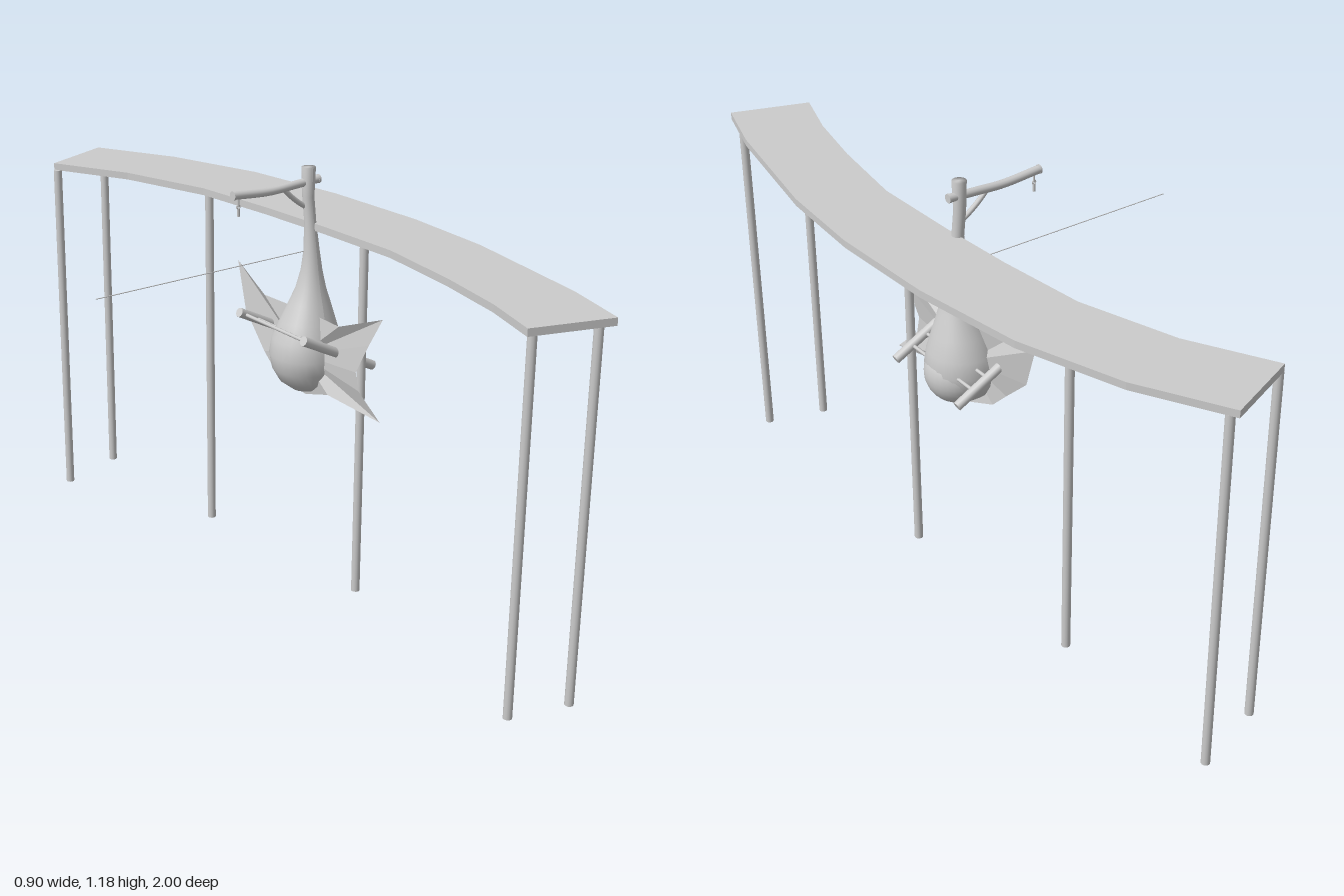
import * as THREE from 'three';

const grey = new THREE.MeshStandardMaterial({ color: 0xcccccc });
const flat = new THREE.MeshStandardMaterial({ color: 0xcccccc, flatShading: true });
const thin = new THREE.MeshStandardMaterial({ color: 0xcccccc, flatShading: true, side: THREE.DoubleSide });
const V = (x, y, z) => new THREE.Vector3(x, y, z);

export function createModel() {
  const model = new THREE.Group();
  const add = (name, geometry, material = grey) => {
    const mesh = new THREE.Mesh(geometry, material);
    mesh.name = name;
    model.add(mesh);
    return mesh;
  };
  // Straight round bar between two points
  const rod = (name, a, b, radius, sides = 12) => {
    const mesh = add(name, new THREE.CylinderGeometry(radius, radius, a.distanceTo(b), sides));
    mesh.position.copy(a).lerp(b, 0.5);
    mesh.quaternion.setFromUnitVectors(V(0, 1, 0), b.clone().sub(a).normalize());
    return mesh;
  };

  // Curved walkway, drawn in plan (x, z)
  const plan = [
    [-0.02, -0.92], [0.185, -1], [0.307, -0.77], [0.397, -0.487], [0.44, -0.17],
    [0.45, 0.148], [0.43, 0.418], [0.355, 0.815], [0.3, 1], [0.085, 0.93],
    [0.138, 0.767], [0.18, 0.57], [0.217, 0.317], [0.212, 0.05], [0.2, -0.18],
    [0.175, -0.434], [0.095, -0.7],
  ];
  const deckShape = new THREE.Shape(plan.map(([x, z]) => new THREE.Vector2(x, z)));
  const deck = new THREE.ExtrudeGeometry(deckShape, { depth: 0.02, bevelEnabled: false });
  deck.rotateX(Math.PI / 2).translate(0, 1.03, 0);
  add('deck', deck, flat);

  // Posts under the walkway
  const posts = [[0.288, 0.957], [0.122, 0.91], [0.244, 0.185], [0.195, -0.433], [-0.014, -0.91], [0.187, -0.973]];
  for (const [x, z] of posts) rod('post', V(x, 0, z), V(x, 1.011, z), 0.012);

  // Pear-shaped body drawn out into a long, slightly bent neck
  const profile = [
    [0, 0.555], [0.04, 0.563], [0.073, 0.588], [0.094, 0.625], [0.101, 0.665], [0.094, 0.71],
    [0.075, 0.76], [0.056, 0.81], [0.041, 0.85], [0.029, 0.9], [0.022, 0.95],
    [0.016, 1.03], [0.016, 1.1], [0.019, 1.18], [0, 1.18],
  ].map(([r, y]) => new THREE.Vector2(r, y));
  const body = new THREE.LatheGeometry(profile, 28);
  const p = body.attributes.position;
  for (let i = 0; i < p.count; i++) {
    const y = p.getY(i);
    const bend = Math.sin(Math.PI * THREE.MathUtils.clamp((y - 0.72) / 0.38, 0, 1));
    p.setX(i, p.getX(i) + 0.205 + 0.008 * bend);
    p.setZ(i, p.getZ(i) + 0.008 * bend);
  }
  body.computeVertexNormals();
  add('bodyAndNeck', body);
  const bulb = add('lowerBulb', new THREE.SphereGeometry(0.086, 28, 18));
  bulb.position.set(0.225, 0.645, 0);

  // Webbed fin: a fan of flat panels from a hub, outline in (z, y)
  const outline = [
    [0.31, 0.845], [0.166, 0.79], [0, 0.78], [-0.155, 0.79], [-0.31, 0.845], [-0.257, 0.716],
    [-0.155, 0.625], [-0.1, 0.572], [0, 0.54], [0.123, 0.583], [0.31, 0.56], [0.24, 0.63],
    [0.23, 0.68], [0.27, 0.765],
  ];
  const finX = (z) => 0.205 - 0.025 * Math.sin(Math.PI * Math.abs(z) / 0.31);
  const finPoints = [0.19, 0.66, 0];
  const finIndex = [];
  outline.forEach(([z, y], i) => {
    finPoints.push(finX(z), y, z);
    finIndex.push(0, i + 1, ((i + 1) % outline.length) + 1);
  });
  const fin = new THREE.BufferGeometry();
  fin.setAttribute('position', new THREE.Float32BufferAttribute(finPoints, 3));
  fin.setIndex(finIndex);
  fin.computeVertexNormals();
  add('fin', fin, thin);

  // Sloping frame: a bar on each side joined by cross rods
  const slope = (x, z) => V(x, 0.765 - 0.51 * (x - 0.08), z);
  for (const z of [-0.14, 0.14]) rod('sideBar', slope(0.083, z), slope(0.322, z), 0.013);
  for (const x of [0.1, 0.14, 0.227, 0.27]) rod('crossRod', slope(x, -0.14), slope(x, 0.14), 0.005, 8);

  // Arm at the top of the neck with a curved brace
  const z = -0.002;
  const arm = new THREE.CatmullRomCurve3([V(-0.037, 1.142, z), V(0.075, 1.134, z), V(0.16, 1.138, z), V(0.238, 1.142, z)]);
  add('arm', new THREE.TubeGeometry(arm, 16, 0.011, 12));
  for (const end of [0, 1]) {
    const cap = add('armEnd', new THREE.CylinderGeometry(0.012, 0.012, 0.006, 12));
    cap.position.copy(arm.getPoint(end));
    cap.rotation.z = Math.PI / 2;
  }
  const brace = new THREE.QuadraticBezierCurve3(V(0.125, 1.132, z), V(0.16, 1.095, z), V(0.2, 1.072, z));
  add('brace', new THREE.TubeGeometry(brace, 10, 0.007, 8));

  // Hanging hook
  rod('hookLink', V(-0.022, 1.135, z), V(-0.022, 1.11, z), 0.003, 8);
  const ring = add('hookRing', new THREE.TorusGeometry(0.005, 0.002, 6, 12));
  ring.position.set(-0.022, 1.11, z);
  rod('hookWeight', V(-0.022, 1.106, z), V(-0.022, 1.085, z), 0.004, 8);

  // Long thin line
  rod('line', V(-0.455, 0.95, -0.005), V(0.2, 0.95, -0.005), 0.0012, 6);
  return model;
}
